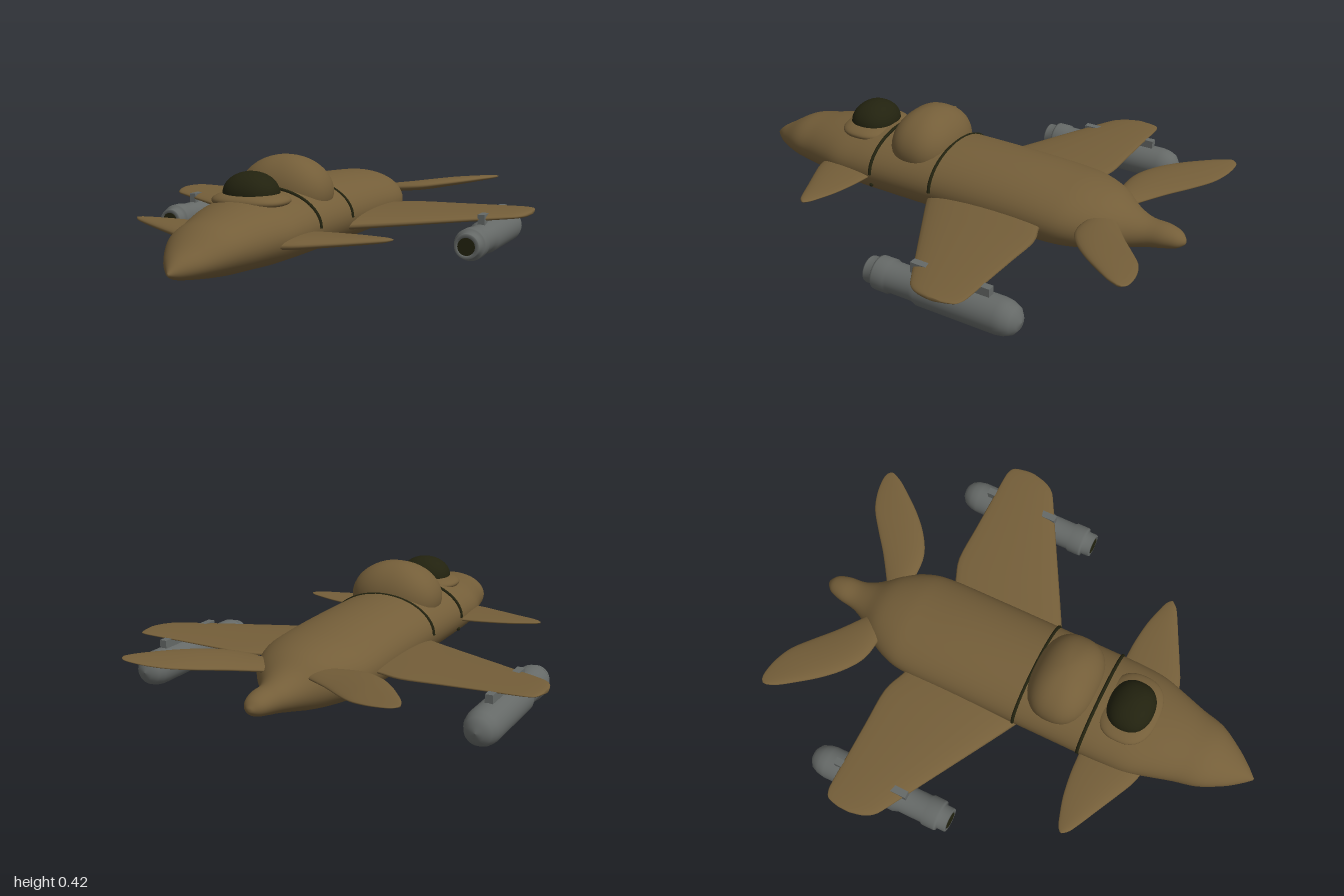
import * as THREE from 'three';
import { mergeVertices } from 'three/addons/utils/BufferGeometryUtils.js';

const material = (name, color) => {
  const m = new THREE.MeshStandardMaterial({ color });
  m.name = name;
  return m;
};

// Catmull-Rom smoothing of rows of numbers
function smoothRows(rows, steps) {
  const out = [];
  for (let i = 0; i < rows.length - 1; i++) {
    const p = [rows[Math.max(i - 1, 0)], rows[i], rows[i + 1], rows[Math.min(i + 2, rows.length - 1)]];
    for (let k = 0; k < steps; k++) {
      const t = k / steps;
      out.push(p[0].map((a, n) => {
        const b = p[1][n], c = p[2][n], d = p[3][n];
        return b + 0.5 * t * (c - a + t * (2 * a - 5 * b + 4 * c - d + t * (3 * (b - c) + d - a)));
      }));
    }
  }
  out.push(rows[rows.length - 1]);
  return out;
}

// Skin over closed rings; pointAt(row, angle) returns [x, y, z]
function loft(rows, sides, pointAt, flip = false) {
  const pos = [], index = [];
  const tri = (a, b, c) => (flip ? index.push(a, c, b) : index.push(a, b, c));
  rows.forEach((row, i) => {
    for (let j = 0; j < sides; j++) {
      pos.push(...pointAt(row, (j / sides) * Math.PI * 2));
      if (i === rows.length - 1) continue;
      const a = i * sides + j, b = i * sides + ((j + 1) % sides);
      tri(a, a + sides, b);
      tri(b, a + sides, b + sides);
    }
  });
  const last = (rows.length - 1) * sides;
  for (let j = 1; j < sides - 1; j++) {
    tri(0, j, j + 1);
    tri(last, last + j + 1, last + j);
  }
  const g = new THREE.BufferGeometry();
  g.setAttribute('position', new THREE.Float32BufferAttribute(pos, 3));
  g.setIndex(index);
  g.computeVertexNormals();
  return g;
}

// Wing-like surface; rows are [x, leading z, trailing z, bottom y, top y]
function wing(rows, side, rise, steps) {
  return loft(smoothRows(rows, steps), 28, ([x, lead, trail, bottom, top], a) => {
    const c = Math.cos(a), half = (lead - trail) / 2;
    const y = (bottom + top) / 2 + ((top - bottom) / 2) * Math.sin(a) * (0.8 + 0.25 * c) - rise * half * c;
    return [side * x, y, (lead + trail) / 2 + half * c];
  }, side < 0);
}

// Rounded-square ellipsoid
function dome(rx, ry, rz, e) {
  let g = new THREE.SphereGeometry(1, 40, 28);
  g.deleteAttribute('normal');
  g.deleteAttribute('uv');
  g = mergeVertices(g);
  const p = g.attributes.position, v = new THREE.Vector3();
  for (let i = 0; i < p.count; i++) {
    v.fromBufferAttribute(p, i);
    const r = Math.pow(Math.abs(v.x) ** e + Math.abs(v.z) ** e, 1 / e);
    const k = r > 1e-5 ? Math.hypot(v.x, v.z) / r : 1;
    p.setXYZ(i, v.x * k * rx, v.y * ry, v.z * k * rz);
  }
  g.computeVertexNormals();
  return g;
}

export function createModel() {
  const model = new THREE.Group();
  const brown = material('brown hull', 0x745e39);
  const grey = material('grey metal', 0x656967);
  const dark = material('dark glass', 0x22220f);
  const add = (name, geometry, mat, x = 0, y = 0, z = 0, parent = model) => {
    const mesh = new THREE.Mesh(geometry, mat);
    mesh.name = name;
    mesh.position.set(x, y, z);
    parent.add(mesh);
    return mesh;
  };

  // Fuselage: z, half width, bottom, top
  const hull = [
    [1, 0.004, 0.095, 0.105], [0.96, 0.04, 0.076, 0.142], [0.9, 0.085, 0.064, 0.178], [0.8, 0.14, 0.05, 0.235],
    [0.7, 0.165, 0.04, 0.258], [0.6, 0.195, 0.036, 0.278], [0.5, 0.223, 0.032, 0.292], [0.4, 0.23, 0.029, 0.302],
    [0.3, 0.231, 0.026, 0.308], [0, 0.231, 0.022, 0.314], [-0.3, 0.231, 0.022, 0.31], [-0.5, 0.23, 0.026, 0.299],
    [-0.6, 0.213, 0.034, 0.29], [-0.7, 0.165, 0.048, 0.265], [-0.78, 0.1, 0.066, 0.222], [-0.85, 0.066, 0.084, 0.198],
    [-0.92, 0.056, 0.1, 0.194], [-0.97, 0.04, 0.113, 0.18], [-0.995, 0.016, 0.13, 0.157], [-1, 0.003, 0.14, 0.147],
  ];
  add('fuselage', loft(smoothRows(hull, 4), 48, ([z, w, b, t], a) =>
    [w * Math.cos(a), (b + t) / 2 + ((t - b) / 2) * Math.sin(a), z]), brown);

  // Cockpit and dorsal hump
  add('cockpitCollar', dome(0.152, 0.04, 0.12, 2.5), brown, 0, 0.28, 0.43);
  add('canopy', dome(0.11, 0.085, 0.095, 2.3), dark, 0, 0.305, 0.43);
  add('dorsalHump', dome(0.192, 0.148, 0.139, 2.5), brown, 0, 0.28, 0.14);

  // Dark seams over the upper hull
  for (const z of [0.3, 0.005]) {
    const pts = [];
    for (let i = 0; i <= 16; i++) {
      const a = (i / 16) * Math.PI;
      pts.push(new THREE.Vector3(0.232 * Math.cos(a), 0.167 + 0.144 * Math.sin(a), z));
    }
    add('hullSeam', new THREE.TubeGeometry(new THREE.CatmullRomCurve3(pts), 48, 0.007, 8), dark);
  }

  const mainWing = [
    [0.16, 0.05, -0.48, 0.105, 0.18], [0.24, 0.01, -0.505, 0.11, 0.182], [0.34, -0.045, -0.538, 0.118, 0.183],
    [0.5, -0.135, -0.538, 0.13, 0.184], [0.66, -0.225, -0.537, 0.142, 0.185], [0.78, -0.292, -0.537, 0.151, 0.185],
    [0.82, -0.32, -0.532, 0.154, 0.184], [0.845, -0.36, -0.515, 0.157, 0.182], [0.858, -0.415, -0.465, 0.163, 0.178],
  ];
  const forePlane = [
    [0.15, 0.585, 0.305, 0.115, 0.172], [0.24, 0.562, 0.31, 0.12, 0.174], [0.32, 0.525, 0.314, 0.128, 0.174],
    [0.42, 0.475, 0.328, 0.138, 0.174], [0.5, 0.435, 0.35, 0.147, 0.174], [0.54, 0.412, 0.364, 0.154, 0.172],
    [0.56, 0.389, 0.38, 0.161, 0.168],
  ];
  const tailFin = [
    [0.05, -0.685, -0.735, 0.175, 0.21], [0.1, -0.662, -0.765, 0.175, 0.22], [0.2, -0.657, -0.835, 0.183, 0.232],
    [0.28, -0.672, -0.9, 0.19, 0.242], [0.36, -0.722, -0.96, 0.203, 0.249], [0.43, -0.79, -0.988, 0.215, 0.252],
    [0.49, -0.865, -0.998, 0.226, 0.253], [0.53, -0.92, -0.996, 0.234, 0.252], [0.55, -0.962, -0.982, 0.24, 0.25],
  ];
  // Pod silhouette: radius, distance behind the nozzle
  const podProfile = [
    [0.034, 0.02], [0.036, 0], [0.05, 0], [0.052, 0.005], [0.052, 0.038], [0.064, 0.042], [0.066, 0.05], [0.066, 0.1],
    [0.06, 0.108], [0.06, 0.21], [0.069, 0.235], [0.069, 0.56], [0.064, 0.59], [0.052, 0.618], [0.03, 0.635], [0, 0.642],
  ].map(([r, d]) => new THREE.Vector2(r, -d));
  podProfile.reverse();

  for (const side of [1, -1]) {
    const label = side > 0 ? 'left' : 'right';
    add(label + 'Wing', wing(mainWing, side, 0.06, 4), brown);
    add(label + 'Foreplane', wing(forePlane, side, 0.05, 4), brown);
    add(label + 'TailFin', wing(tailFin, side, 0, 4), brown);
    add(label + 'HullPort', new THREE.SphereGeometry(0.009, 12, 8), dark, side * 0.215, 0.113, 0.305);

    // Pod slung beneath the wing
    const pod = new THREE.Group();
    pod.name = label + 'Pod';
    pod.position.set(side * 0.695, 0.075, -0.05);
    model.add(pod);
    add('podBody', new THREE.LatheGeometry(podProfile, 32), grey, 0, 0, 0, pod).rotation.x = Math.PI / 2;
    add('podNozzle', new THREE.CylinderGeometry(0.036, 0.036, 0.008, 24), dark, 0, 0, -0.003, pod).rotation.x = Math.PI / 2;
    add('podPylon', new THREE.BoxGeometry(0.03, 0.06, 0.33), grey, 0, 0.07, -0.355, pod);
  }
  return model;
}
